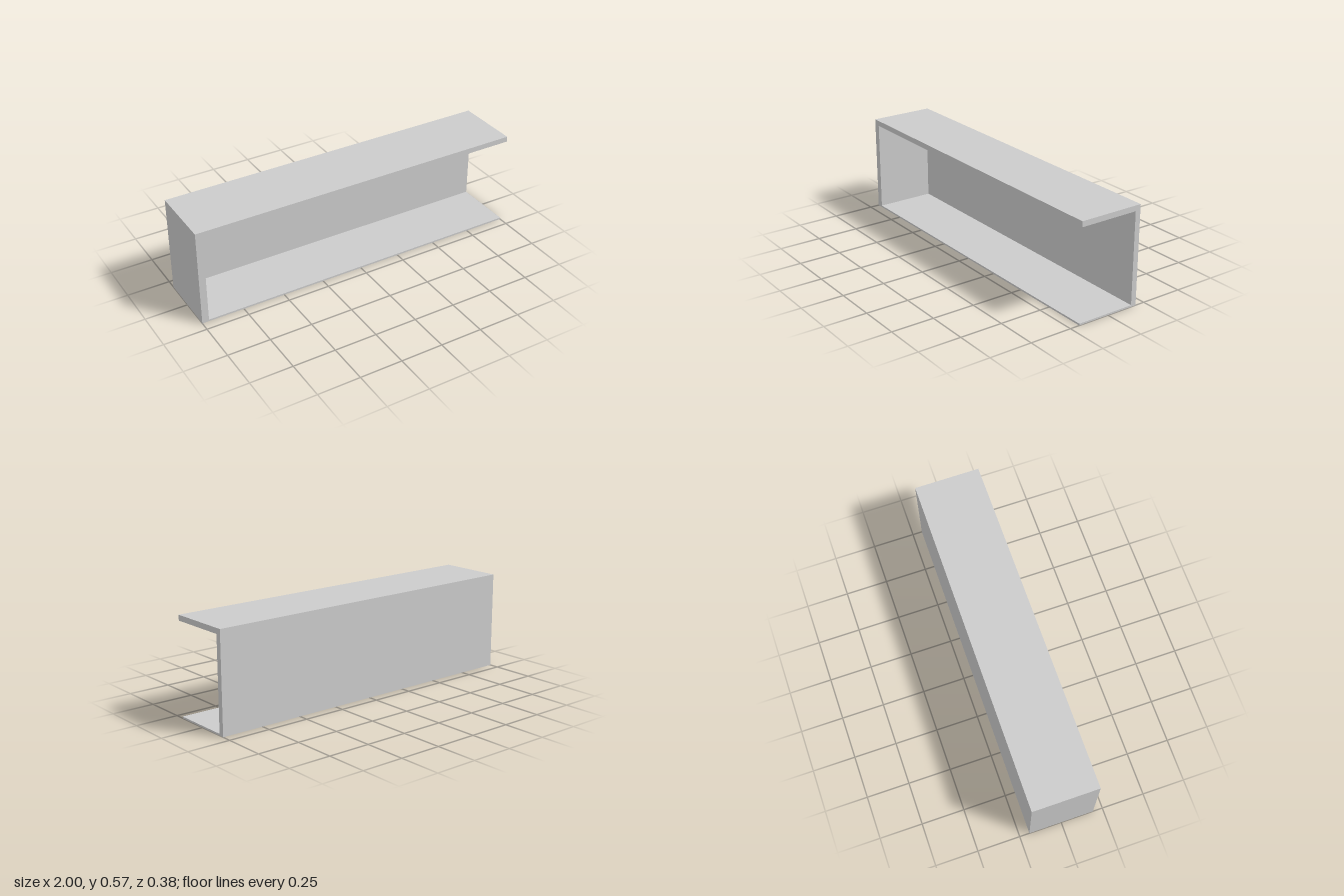
import * as THREE from 'three';

const LEFT = -1, RIGHT = 1, HEIGHT = 0.575, HALF_DEPTH = 0.192;
const WALL = 0.04;        // closed end thickness
const BACK = 0.032;       // back and top thickness
const FLOOR = 0.01;       // thin bottom sheet

export function createModel() {
  const group = new THREE.Group();
  group.name = 'openChannel';
  const material = new THREE.MeshStandardMaterial({ color: 0xcccccc, flatShading: true });

  // C-shaped section (top, back, floor) drawn as (-z, y), swept along x
  const d = HALF_DEPTH;
  const section = new THREE.Shape([
    [-d, 0], [d, 0], [d, HEIGHT], [-d, HEIGHT],
    [-d, HEIGHT - BACK], [d - BACK, HEIGHT - BACK], [d - BACK, FLOOR], [-d, FLOOR],
  ].map(([x, y]) => new THREE.Vector2(x, y)));
  const channelGeometry = new THREE.ExtrudeGeometry(section, {
    depth: RIGHT - LEFT - WALL, bevelEnabled: false,
  });
  channelGeometry.rotateY(Math.PI / 2).translate(LEFT + WALL, 0, 0);
  const channel = new THREE.Mesh(channelGeometry, material);
  channel.name = 'topBackAndFloor';
  group.add(channel);

  // Panel closing one end; the other end stays open
  const endPanel = new THREE.Mesh(new THREE.BoxGeometry(WALL, HEIGHT, 2 * d), material);
  endPanel.position.set(LEFT + WALL / 2, HEIGHT / 2, 0);
  endPanel.name = 'endPanel';
  group.add(endPanel);

  return group;
}
